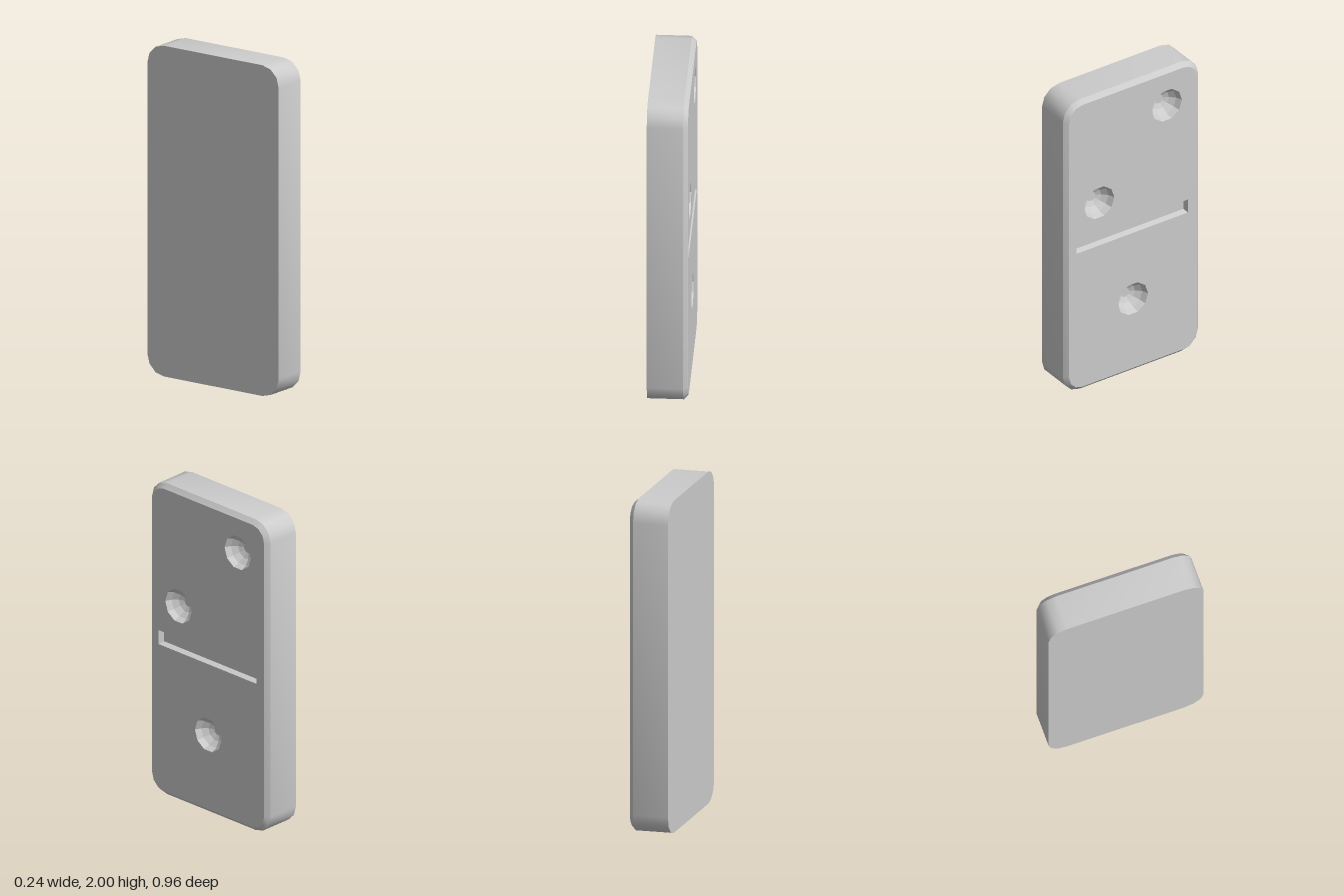
import * as THREE from 'three';
import { toCreasedNormals } from 'three/addons/utils/BufferGeometryUtils.js';

// Sizes: parts are drawn in (u, v, w) = (-z, y, x), then the group is turned to face +x
const HALF_W = 0.48, HEIGHT = 2, HALF_T = 0.12, BEVEL = 0.027, CORNER = 0.12;

// Rounded rectangle outline, counter-clockwise, three segments per corner
function slabOutline(inset) {
  const r = CORNER - inset, pts = [];
  const du = HALF_W - CORNER, dv = HEIGHT / 2 - CORNER;
  [[1, 1], [-1, 1], [-1, -1], [1, -1]].forEach(([su, sv], c) => {
    for (let k = 0; k <= 3; k++) {
      const a = (c + k / 3) * Math.PI / 2;
      pts.push(new THREE.Vector2(su * du + r * Math.cos(a), HEIGHT / 2 + sv * dv + r * Math.sin(a)));
    }
  });
  return pts;
}

function circle(u, v, r, sides = 10) {
  return Array.from({ length: sides }, (_, i) => {
    const a = i / sides * Math.PI * 2;
    return new THREE.Vector2(u + r * Math.cos(a), v + r * Math.sin(a));
  });
}

function rect(u0, u1, v0, v1) {
  return [[u0, v0], [u1, v0], [u1, v1], [u0, v1]].map(([u, v]) => new THREE.Vector2(u, v));
}

// Walls joining successive outlines; rising w faces outward, falling w faces inward
function loft(rings) {
  const pos = [];
  for (let k = 0; k + 1 < rings.length; k++) {
    const [a, wa] = rings[k], [b, wb] = rings[k + 1], n = a.length;
    for (let i = 0; i < n; i++) {
      const j = (i + 1) % n;
      pos.push(a[i].x, a[i].y, wa, a[j].x, a[j].y, wa, b[j].x, b[j].y, wb);
      pos.push(a[i].x, a[i].y, wa, b[j].x, b[j].y, wb, b[i].x, b[i].y, wb);
    }
  }
  const g = new THREE.BufferGeometry();
  g.setAttribute('position', new THREE.Float32BufferAttribute(pos, 3));
  g.computeVertexNormals();
  return g;
}

function cap(outline, w, holes = []) {
  const shape = new THREE.Shape(outline);
  shape.holes = holes.map(h => new THREE.Path(h));
  return new THREE.ShapeGeometry(shape).translate(0, 0, w);
}

export function createModel() {
  const model = new THREE.Group();
  model.name = 'domino';
  const smooth = new THREE.MeshStandardMaterial({ color: 0xcccccc });
  const faceted = new THREE.MeshStandardMaterial({ color: 0xcccccc, flatShading: true });
  const add = (name, geometry, material = smooth, parent = model) => {
    const mesh = new THREE.Mesh(geometry, material);
    mesh.name = name;
    parent.add(mesh);
    return mesh;
  };

  // Rim with one bevelled edge
  const outer = slabOutline(0), inner = slabOutline(BEVEL);
  const rim = loft([[outer, -HALF_T], [outer, HALF_T - BEVEL], [inner, HALF_T]]);
  add('rim', toCreasedNormals(rim, 0.6));

  // Plain back
  add('back', cap(outer, 0).rotateY(Math.PI).translate(0, 0, -HALF_T));

  // Recesses: list of [outline, depth] rings, closed by a floor
  const holes = [];
  const recess = (name, rings) => {
    const group = new THREE.Group();
    group.name = name;
    model.add(group);
    const placed = rings.map(([outline, depth]) => [outline, HALF_T - depth]);
    add(name + 'Wall', loft(placed), faceted, group);
    add(name + 'Floor', cap(...placed[placed.length - 1]), faceted, group);
    holes.push(rings[0][0]);
  };

  // Round pips
  const profile = [[0.107, 0], [0.092, 0.038], [0.062, 0.068], [0.03, 0.083]];
  [[0.24, 1.755], [-0.24, 1.255], [0, 0.505]].forEach(([u, v], i) =>
    recess('pip' + (i + 1), profile.map(([r, d]) => [circle(u, v, r), d])));

  // Dividing groove
  recess('groove', [
    [rect(-0.4, 0.39, 0.96, 1.05), 0],
    [rect(-0.392, 0.382, 0.97, 1.042), 0.035],
  ]);

  // Face pierced by the recesses
  add('face', cap(inner, HALF_T, holes));

  model.rotation.y = Math.PI / 2;
  const root = new THREE.Group();
  root.name = 'dominoTile';
  root.add(model);
  return root;
}
